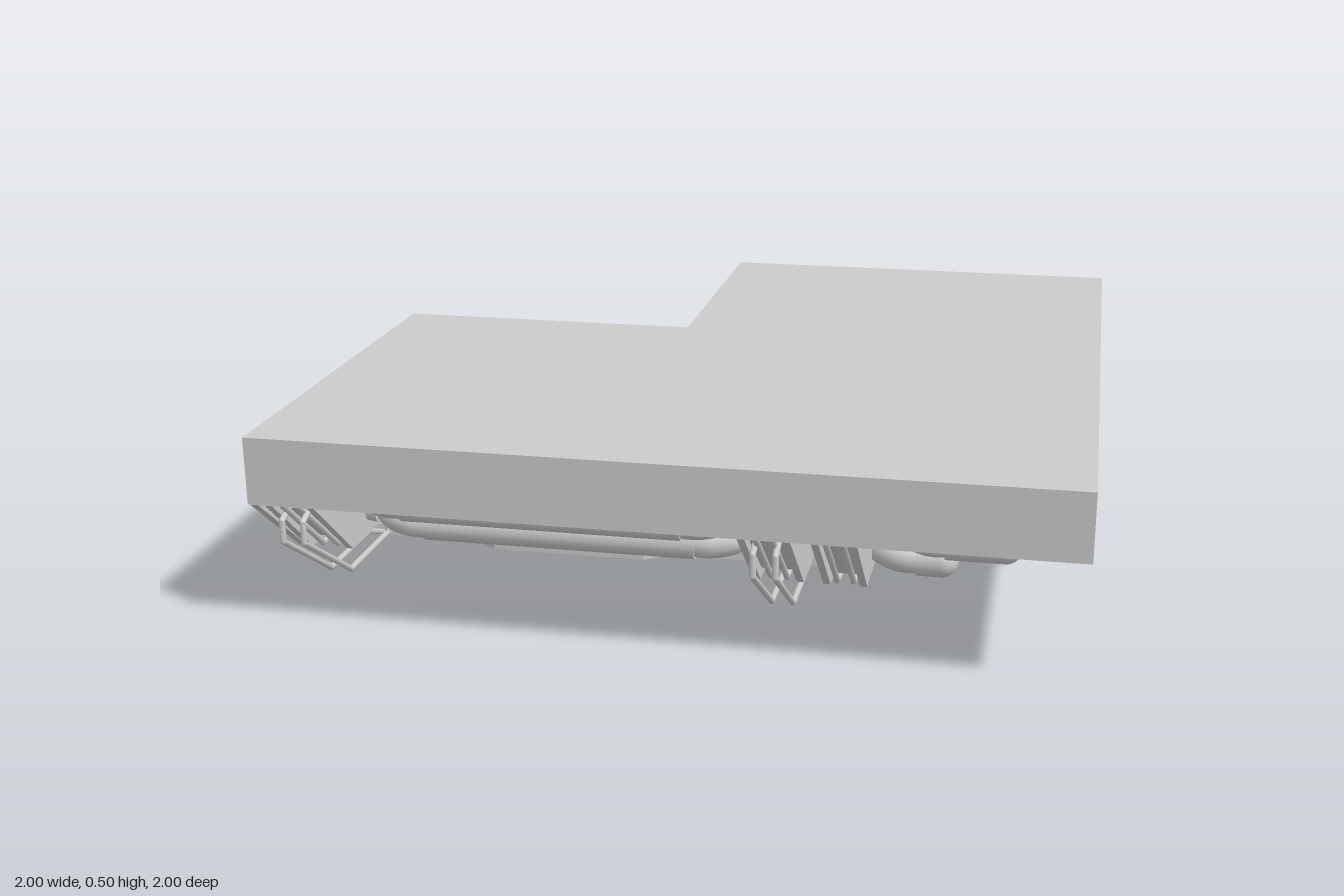
import * as THREE from 'three';

const mat = new THREE.MeshStandardMaterial({ color: 0xcccccc, side: THREE.DoubleSide });

function mesh(geo, name, parent) {
  const m = new THREE.Mesh(geo, mat);
  m.name = name;
  parent.add(m);
  return m;
}

// L-shaped body lofted from rings: [height, outer edge, inner corner]
function hullGeometry() {
  const levels = [
    [0.5, 1, -0.17], [0.33, 1, -0.228], [0.33, 0.82, -0.228],
    [0.09, 0.47, -0.309], [0.09, 0.335, -0.309], [0, 0.335, -0.34],
  ];
  const rings = levels.map(([y, p, n]) =>
    [[n, n], [-1, n], [-1, p], [p, p], [p, -1], [n, -1]].map(([x, z]) => [x, y, z]));
  const pos = [];
  const tri = (a, b, c) => pos.push(...a, ...b, ...c);
  for (let r = 0; r < rings.length - 1; r++) {
    for (let i = 0; i < 6; i++) {
      const j = (i + 1) % 6, a = rings[r], b = rings[r + 1];
      tri(a[i], b[i], b[j]);
      tri(a[i], b[j], a[j]);
    }
  }
  const top = rings[0], bottom = rings[rings.length - 1];
  for (let i = 1; i < 5; i++) {
    tri(top[0], top[i], top[i + 1]);
    tri(bottom[0], bottom[i + 1], bottom[i]);
  }
  const g = new THREE.BufferGeometry();
  g.setAttribute('position', new THREE.Float32BufferAttribute(pos, 3));
  g.computeVertexNormals();
  return g;
}

// Profile in (outward, height), given a width centred on z
function slice(points, width, z = 0) {
  const shape = new THREE.Shape(points.map(([d, y]) => new THREE.Vector2(d, y)));
  const g = new THREE.ExtrudeGeometry(shape, { depth: width, bevelEnabled: false });
  return g.translate(0, 0, z - width / 2);
}

// Straight-segment rod with ball joints
function rod(points, radius, name, parent) {
  const pts = points.map((p) => new THREE.Vector3(...p));
  for (let i = 0; i < pts.length - 1; i++) {
    const curve = new THREE.LineCurve3(pts[i], pts[i + 1]);
    mesh(new THREE.TubeGeometry(curve, 1, radius, 8), name, parent);
    if (i) mesh(new THREE.SphereGeometry(radius, 8, 6), name + 'Joint', parent).position.copy(pts[i]);
  }
}

// Angled channel strut; outer ones also carry a wire guard and a foot
function strut(corner) {
  const g = new THREE.Group();
  g.name = corner ? 'cornerStrut' : 'strut';
  const outer = [[0.98, 0.335], [0.73, 0.12], [0.46, 0.12], [0.46, 0.08]];
  const foot = corner ? [[0.4, 0.08], [0.4, 0.335]]
    : [[0.355, 0.08], [0.355, 0.02], [0.32, 0.02], [0.32, 0.335]];
  const inner = [[0.95, 0.335], [0.715, 0.145], [0.44, 0.145], [0.44, 0.1], [0.4, 0.1], [0.4, 0.335]];
  const half = corner ? 0.045 : 0.054;
  for (const s of [-1, 1]) {
    mesh(slice([...outer, ...foot], 0.018, s * half), 'strutFlange', g);
    // raised ribs inside the channel
    rod([[0.955, 0.32, s * 0.02], [0.725, 0.13, s * 0.02], [0.45, 0.13, s * 0.02]], 0.008, 'strutRib', g);
    if (!corner) {
      const path = [[0.88, 0.295], [0.94, 0.27], [0.94, 0.215], [0.67, 0.037], [0.405, 0.037], [0.405, 0.14]];
      rod(path.map(([d, y]) => [d, y, s * 0.027]), 0.008, 'guardWire', g);
    }
  }
  mesh(slice(inner, half * 2), 'strutWeb', g);
  if (!corner) {
    for (const [d, y] of [[0.88, 0.295], [0.405, 0.037]]) {
      rod([[d, y, -0.027], [d, y, 0.027]], 0.008, 'guardCrossbar', g);
    }
    const plate = mesh(new THREE.BoxGeometry(0.03, 0.02, 0.1), 'strutFoot', g);
    plate.position.set(0.34, 0.03, 0);
  }
  return g;
}

// Outward distance and height of the upper and lower pipe
const PIPES = [[0.8, 0.28], [0.64, 0.168]];

// A pair of pipes with thick sleeves and ends bending into the recess
function pipeBay() {
  const g = new THREE.Group();
  g.name = 'pipeBay';
  for (const [d, y] of PIPES) {
    const sleeve = mesh(new THREE.CylinderGeometry(0.043, 0.043, 0.71, 20), 'pipeSleeve', g);
    sleeve.rotation.x = Math.PI / 2;
    sleeve.position.set(d, y, 0);
    for (const s of [-1, 1]) {
      const bend = new THREE.CatmullRomCurve3([
        [0, 0, 0.34], [0, 0, 0.4], [-0.015, 0.01, 0.45], [-0.06, 0.03, 0.49],
      ].map(([a, b, c]) => new THREE.Vector3(d + a, y + b, s * c)));
      mesh(new THREE.TubeGeometry(bend, 12, 0.037, 14), 'pipeBend', g);
      // short socket on the neighbouring strut
      const socket = mesh(new THREE.CylinderGeometry(0.026, 0.032, 0.04, 14), 'pipeSocket', g);
      socket.rotation.x = s * Math.PI / 2;
      socket.position.set(d - 0.03, y + 0.015, s * 0.515);
    }
  }
  // tapered tray under the lower pipe
  const tray = new THREE.Shape([[0.34, -0.3], [0.5, -0.3], [0.57, -0.2], [0.57, 0.2], [0.5, 0.3], [0.34, 0.3]]
    .map(([d, z]) => new THREE.Vector2(d, z)));
  const trayGeo = new THREE.ExtrudeGeometry(tray, { depth: 0.03, bevelEnabled: false });
  trayGeo.rotateX(Math.PI / 2).translate(0, 0.11, 0);
  mesh(trayGeo, 'recessTray', g);
  // seams on the base wall
  for (const s of [-0.335, 0.335]) {
    mesh(new THREE.BoxGeometry(0.012, 0.085, 0.01), 'baseSeam', g).position.set(0.335, 0.045, s);
  }
  return g;
}

export function createModel() {
  const model = new THREE.Group();
  model.name = 'corner platform';
  mesh(hullGeometry(), 'hull', model);

  // The same outfit along the front (+z) and the left (+x) edges
  const endPlate = [[1, 0.335], [0.73, 0.12], [0.46, 0.12], [0.335, 0.09], [0.3, 0.09], [0.3, 0.335]];
  for (const front of [false, true]) {
    const side = new THREE.Group();
    side.name = front ? 'frontSide' : 'leftSide';
    model.add(side);
    const place = (part, s) => {
      if (front) {
        part.rotation.y = -Math.PI / 2;
        part.position.x = s;
      } else part.position.z = s;
      side.add(part);
    };
    place(mesh(slice(endPlate, 0.02), 'endPlate', side), -0.99);
    place(strut(false), -0.917);
    place(strut(false), 0.25);
    place(strut(true), 0.415);
    place(pipeBay(), -0.33);
  }

  // Pipes turning around the outer corner
  for (const [d, y] of PIPES) {
    mesh(new THREE.SphereGeometry(0.043, 20, 14), 'cornerPipeJoint', model).position.set(d, y, d);
    const start = d === 0.8 ? 0.66 : 0.58;
    for (const swap of [false, true]) {
      const v = (s, dd, yy) => (swap ? new THREE.Vector3(dd, yy, s) : new THREE.Vector3(s, yy, dd));
      const line = new THREE.LineCurve3(v(start, d, y), v(d, d, y));
      mesh(new THREE.TubeGeometry(line, 1, 0.043, 20), 'cornerPipe', model);
      const bend = new THREE.CatmullRomCurve3([
        v(start + 0.01, d, y), v(start - 0.04, d, y), v(start - 0.09, d - 0.02, y + 0.012), v(start - 0.13, d - 0.06, y + 0.03),
      ]);
      mesh(new THREE.TubeGeometry(bend, 10, 0.037, 14), 'cornerPipeBend', model);
    }
  }
  return model;
}
